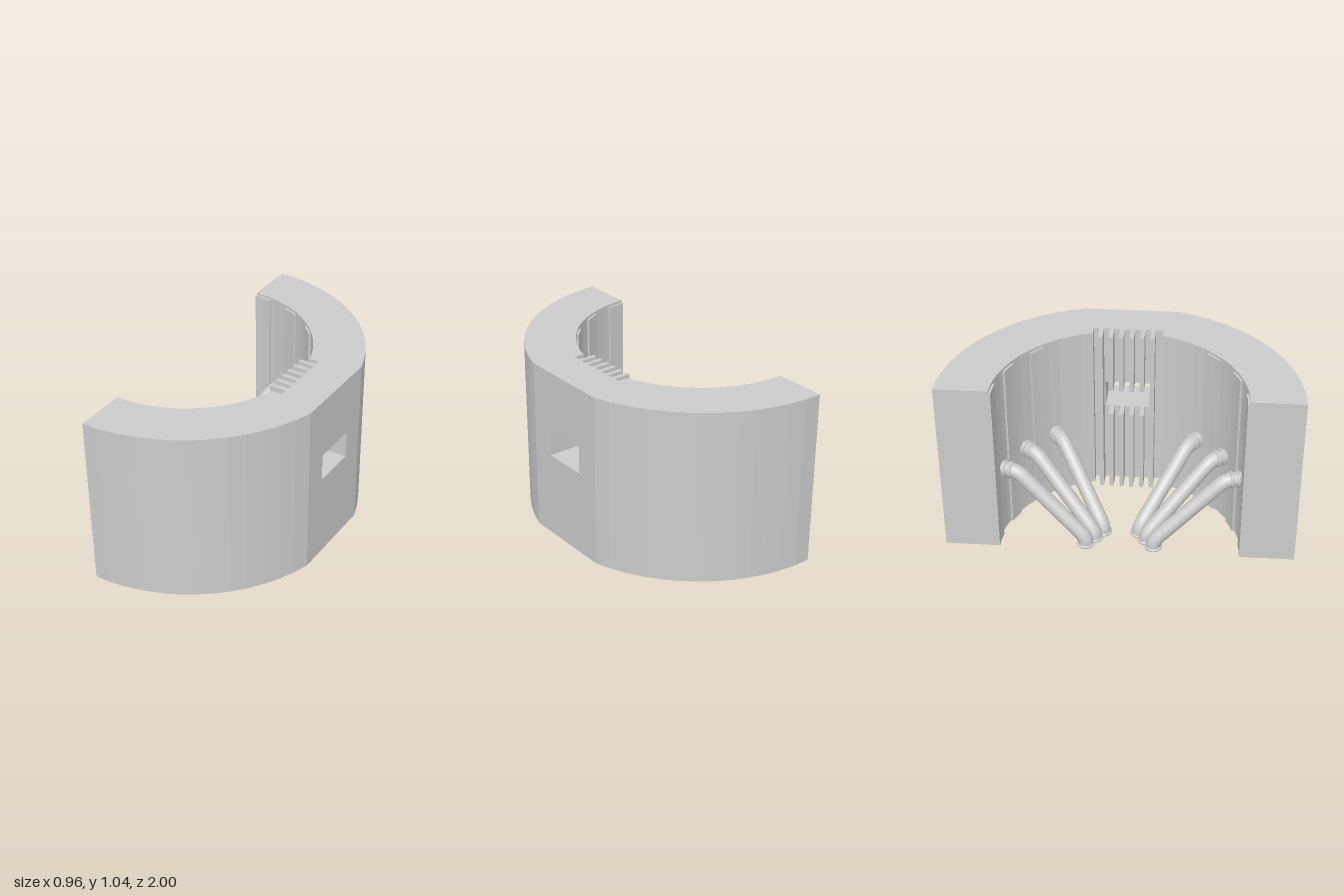
import * as THREE from 'three';

const H = 1.045, CX = -0.48; // wall height, arc centre
const WIN = { z: 0.135, y0: 0.52, y1: 0.685 };
const rad = THREE.MathUtils.degToRad;
const flat = new THREE.MeshStandardMaterial({ color: 0xcccccc, flatShading: true });
const smooth = new THREE.MeshStandardMaterial({ color: 0xcccccc, side: THREE.DoubleSide });

// Points on an arc about the wall centre; side = +1 or -1 along z
function arc(r, from, to, n, side) {
  return Array.from({ length: n + 1 }, (_, i) => {
    const t = rad(from + (to - from) * i / n);
    return new THREE.Vector2(CX + r * Math.cos(t), side * r * Math.sin(t));
  });
}

// Extrude a plan outline (x, z) from y0 up to y1
function upright(name, points, y0, y1) {
  const geo = new THREE.ExtrudeGeometry(new THREE.Shape(points), { depth: y1 - y0, bevelEnabled: false });
  geo.rotateX(Math.PI / 2).translate(0, y1, 0);
  const mesh = new THREE.Mesh(geo, flat);
  mesh.name = name;
  return mesh;
}

function box(name, x0, x1, y0, y1, z0, z1) {
  const mesh = new THREE.Mesh(new THREE.BoxGeometry(x1 - x0, y1 - y0, z1 - z0), flat);
  mesh.position.set((x0 + x1) / 2, (y0 + y1) / 2, (z0 + z1) / 2);
  mesh.name = name;
  return mesh;
}

// Bent pipe from a floor ring up to a collar on the wall
function pipe(foot, angle, side) {
  const group = new THREE.Group();
  group.name = 'pipe';
  const t = rad(angle);
  const out = new THREE.Vector3(Math.cos(t), 0, side * Math.sin(t));
  const onWall = (r, y) => new THREE.Vector3(CX, y, 0).addScaledVector(out, r);
  const base = new THREE.Vector3(foot[0], 0, side * foot[1]);
  const low = base.clone().setY(0.05), high = onWall(0.61, 0.425), end = onWall(0.7, 0.425);
  const a = low.clone().lerp(high, 0.1), b = low.clone().lerp(high, 0.9);
  const path = new THREE.CurvePath();
  path.add(new THREE.LineCurve3(base, base.clone().setY(0.02)));
  path.add(new THREE.QuadraticBezierCurve3(base.clone().setY(0.02), low, a));
  path.add(new THREE.LineCurve3(a, b));
  path.add(new THREE.QuadraticBezierCurve3(b, high, onWall(0.65, 0.425)));
  path.add(new THREE.LineCurve3(onWall(0.65, 0.425), end));
  const tube = new THREE.Mesh(new THREE.TubeGeometry(path, 48, 0.043, 20, false), smooth);
  tube.name = 'pipeTube';
  group.add(tube);

  const ring = (name, pos, dir) => {
    const mesh = new THREE.Mesh(new THREE.TorusGeometry(0.043, 0.009, 8, 24), smooth);
    mesh.position.copy(pos);
    mesh.quaternion.setFromUnitVectors(new THREE.Vector3(0, 0, 1), dir);
    mesh.name = name;
    group.add(mesh);
  };
  ring('floorRing', base.clone().setY(0.009), new THREE.Vector3(0, 1, 0));
  for (const r of [0.645, 0.68]) ring('wallCollar', onWall(r, 0.425), out);
  return group;
}

export function createModel() {
  const model = new THREE.Group();
  model.name = 'curvedWallWithPipes';
  const inner = 16.6, outer = 16.26; // angles where the arcs meet the flat middle

  for (const side of [1, -1]) {
    // Curved half of the wall, ending at the window edge
    model.add(upright('curvedWall', [
      new THREE.Vector2(0.25, side * WIN.z),
      new THREE.Vector2(0.48, side * WIN.z),
      ...arc(1, outer, 90, 13, side),
      ...arc(0.7, 90, inner, 13, side),
      new THREE.Vector2(0.25, side * 0.2),
    ], 0, H));

    // Raised strips on the inner face
    for (const [from, to] of [[81, 90], [62, 70], [42, 50]]) {
      model.add(upright('wallStrip',
        [...arc(0.705, from, to, 2, side), ...arc(0.687, to, from, 2, side)], 0, H - 0.015));
    }

    // Three pipes fanning out to the recesses between the strips
    const feet = [[-0.43, 0.195], [-0.37, 0.15], [-0.31, 0.105]];
    [75.5, 56, 37].forEach((angle, i) => model.add(pipe(feet[i], angle, side)));
  }

  // Flat middle of the wall below and above the window
  model.add(box('wallBelowWindow', 0.25, 0.48, 0, WIN.y0, -WIN.z, WIN.z));
  model.add(box('wallAboveWindow', 0.25, 0.48, WIN.y1, H, -WIN.z, WIN.z));

  // Upright fins in the pocket, broken where they would cross the window
  for (let i = 0; i < 6; i++) {
    const z = -0.155 + i * 0.06, z0 = z - 0.013, z1 = z + 0.013;
    const spans = Math.abs(z) > 0.14 ? [[0, H]] : [[0, WIN.y0], [WIN.y1, H]];
    for (const [y0, y1] of spans) model.add(box('fin', 0.15, 0.25, y0, y1, z0, z1));
  }
  return model;
}
